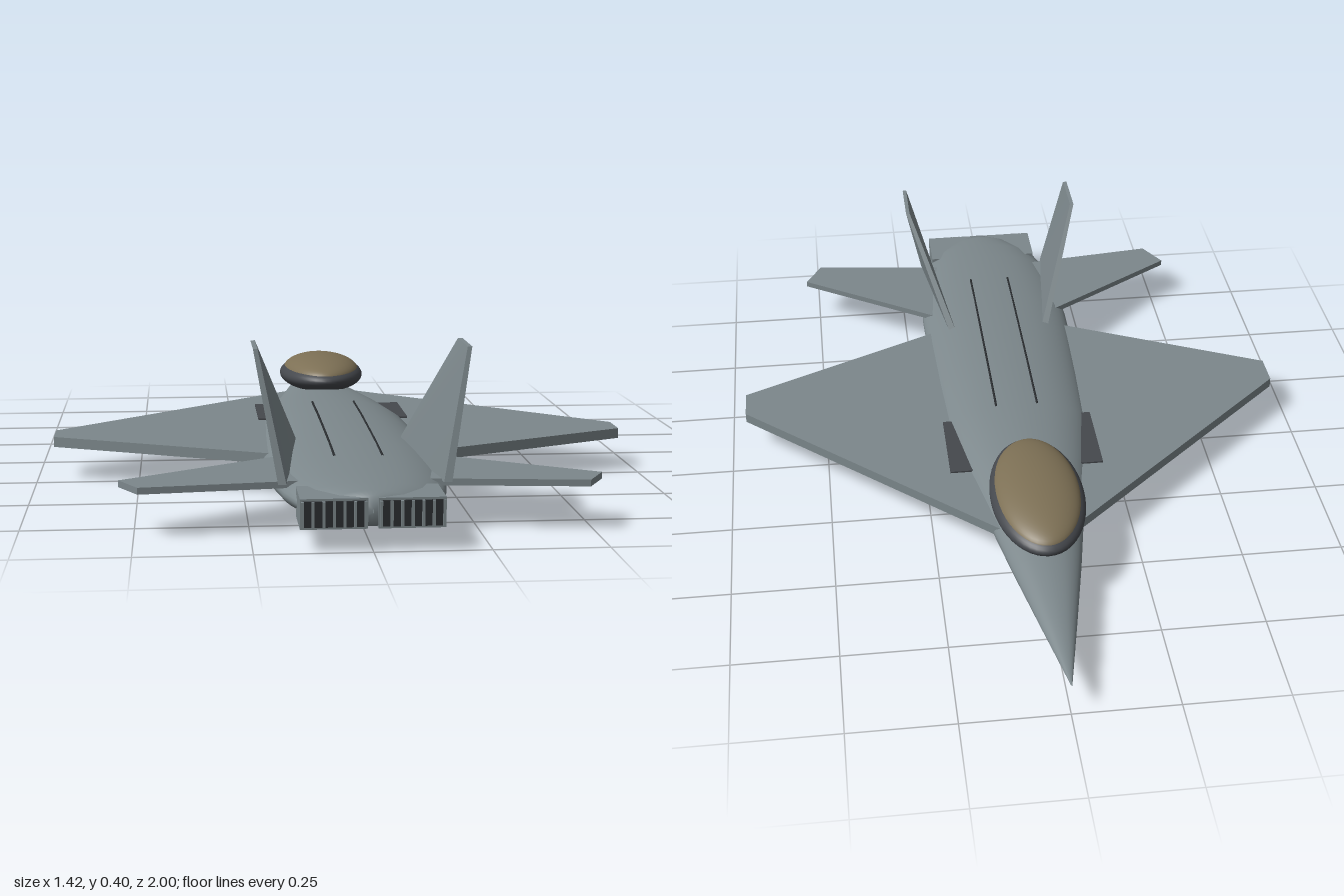
import * as THREE from 'three';

const mat = (name, color, side = THREE.FrontSide) => {
  const m = new THREE.MeshStandardMaterial({ color, side });
  m.name = name;
  return m;
};

// Fuselage stations: z, half width, top y, bottom y
const WAIST = 0.085;
const STATIONS = [
  [-1, 0.001, 0.086, 0.084], [-0.8, 0.042, 0.107, 0.065], [-0.6, 0.082, 0.124, 0.045],
  [-0.42, 0.115, 0.135, 0.027], [-0.2, 0.157, 0.147, 0.01], [0, 0.188, 0.153, 0.001],
  [0.2, 0.197, 0.154, 0.003], [0.4, 0.204, 0.151, 0.01], [0.55, 0.206, 0.148, 0.018],
  [0.7, 0.195, 0.142, 0.026], [0.82, 0.178, 0.136, 0.034], [0.9, 0.155, 0.13, 0.041],
  [0.96, 0.105, 0.124, 0.047], [0.985, 0.04, 0.118, 0.053], [0.988, 0.001, 0.09, 0.08],
];
// Right half of the unit cross-section, from spine to keel
const HALF = [[0, 1], [0.5, 0.86], [0.84, 0.5], [1, 0], [0.82, -0.6], [0.42, -0.86], [0, -1]];

function fuselageGeometry() {
  const ring = [...HALF, ...HALF.slice(1, -1).reverse().map(([x, y]) => [-x, y])];
  const curve = new THREE.CatmullRomCurve3(ring.map(([x, y]) => new THREE.Vector3(x, y, 0)), true);
  const n = 48, pts = curve.getPoints(n).slice(0, n);
  const pos = [], idx = [];
  STATIONS.forEach(([z, w, top, bot], i) => {
    pts.forEach((p, j) => {
      pos.push(p.x * w, WAIST + p.y * (p.y > 0 ? top - WAIST : WAIST - bot), z);
      if (i === STATIONS.length - 1) return;
      const a = i * n + j, b = i * n + (j + 1) % n, c = a + n, d = b + n;
      idx.push(a, c, b, b, c, d);
    });
  });
  const g = new THREE.BufferGeometry();
  g.setAttribute('position', new THREE.Float32BufferAttribute(pos, 3));
  g.setIndex(idx);
  g.computeVertexNormals();
  return g;
}

// Height of the spine surface at z
function spineY(z) {
  const i = Math.max(1, STATIONS.findIndex((s) => s[0] >= z));
  const a = STATIONS[i - 1], b = STATIONS[i];
  return THREE.MathUtils.lerp(a[2], b[2], (z - a[0]) / (b[0] - a[0]));
}

// Horizontal plate from an outline of [x, z] points
function plate(points, top, thickness, s) {
  const shape = new THREE.Shape(points.map(([x, z]) => new THREE.Vector2(x * s, z)));
  const g = new THREE.ExtrudeGeometry(shape, { depth: thickness, bevelEnabled: false });
  return g.rotateX(Math.PI / 2).translate(0, top, 0);
}

// Canted fin: a box remapped onto four corners
function finGeometry(s) {
  const g = new THREE.BoxGeometry(1, 1, 1);
  const rootFront = new THREE.Vector3(0.13, 0.125, 0.42), rootBack = new THREE.Vector3(0.18, 0.11, 0.83);
  const tipFront = new THREE.Vector3(0.234, 0.398, 0.63), tipBack = new THREE.Vector3(0.234, 0.398, 0.77);
  const p = g.attributes.position, low = new THREE.Vector3(), high = new THREE.Vector3();
  for (let i = 0; i < p.count; i++) {
    const v = p.getY(i) + 0.5, u = p.getZ(i) + 0.5;
    low.lerpVectors(rootFront, rootBack, u);
    high.lerpVectors(tipFront, tipBack, u);
    low.lerp(high, v);
    const x = low.x + s * p.getX(i) * (0.018 - 0.008 * v);
    p.setXYZ(i, x * s, low.y, low.z);
  }
  g.computeVertexNormals();
  return g;
}

export function createModel() {
  const model = new THREE.Group();
  model.name = 'jet';
  const grey = mat('airframe grey', 0x7c878b);
  const dark = mat('dark grey', 0x45484d);
  const amber = mat('canopy amber', 0x7d7055);
  const black = mat('panel black', 0x2b2e31);
  const add = (name, geometry, material, parent = model) => {
    const m = new THREE.Mesh(geometry, material);
    m.name = name;
    parent.add(m);
    return m;
  };
  const box = (x0, x1, y0, y1, z0, z1) => new THREE.BoxGeometry(x1 - x0, y1 - y0, z1 - z0)
    .translate((x0 + x1) / 2, (y0 + y1) / 2, (z0 + z1) / 2);

  add('fuselage', fuselageGeometry(), grey);

  // Canopy: glass bubble rising out of a dark rim
  const canopy = new THREE.Group();
  canopy.name = 'canopy';
  canopy.position.set(0, 0, -0.411);
  canopy.rotation.x = -0.02;
  model.add(canopy);
  const ball = (rx, ry, rz, y) => new THREE.SphereGeometry(1, 48, 32).scale(rx, ry, rz).translate(0, y, 0);
  add('canopyRim', ball(0.115, 0.045, 0.223, 0.165), dark, canopy);
  add('canopyGlass', ball(0.105, 0.045, 0.211, 0.175), amber, canopy);

  for (const s of [1, -1]) {
    const side = new THREE.Group();
    side.name = s > 0 ? 'leftSide' : 'rightSide';
    model.add(side);

    add('wing', plate([[0.05, -0.5], [0.71, 0.11], [0.71, 0.2], [0.05, 0.52]], 0.105, 0.025, s), grey, side);
    add('tailplane', plate([[0.08, 0.47], [0.533, 0.77], [0.49, 0.85], [0.08, 0.8]], 0.114, 0.015, s), grey, side);
    add('fin', finGeometry(s), grey, side);

    // Air intake beside the belly
    const intake = add('intake', box(-0.045, 0.045, 0.035, 0.109, -0.218, 0.005), dark, side);
    intake.position.x = s * 0.15;

    // Rectangular nozzle with dark outlet and vertical slats
    const nozzle = new THREE.Group();
    nozzle.name = 'nozzle';
    nozzle.position.x = s * 0.082;
    side.add(nozzle);
    add('nozzleHousing', box(-0.071, 0.071, 0.049, 0.114, 0.86, 0.99), grey, nozzle);
    add('nozzleOutlet', box(-0.066, 0.066, 0.054, 0.109, 0.989, 0.995), black, nozzle);
    for (let i = 0; i < 7; i++) {
      const x = -0.066 + i * 0.022;
      add('nozzleSlat', box(x - 0.003, x + 0.003, 0.054, 0.109, 0.993, 1), grey, nozzle);
    }

    // Panel line along the back
    const path = [0, 0.1, 0.2, 0.3, 0.4, 0.5, 0.6, 0.68]
      .map((z) => new THREE.Vector3(s * 0.054, WAIST + (spineY(z) - WAIST) * 0.95, z));
    add('panelLine', new THREE.TubeGeometry(new THREE.CatmullRomCurve3(path), 24, 0.003, 6), black, side);
  }
  return model;
}
